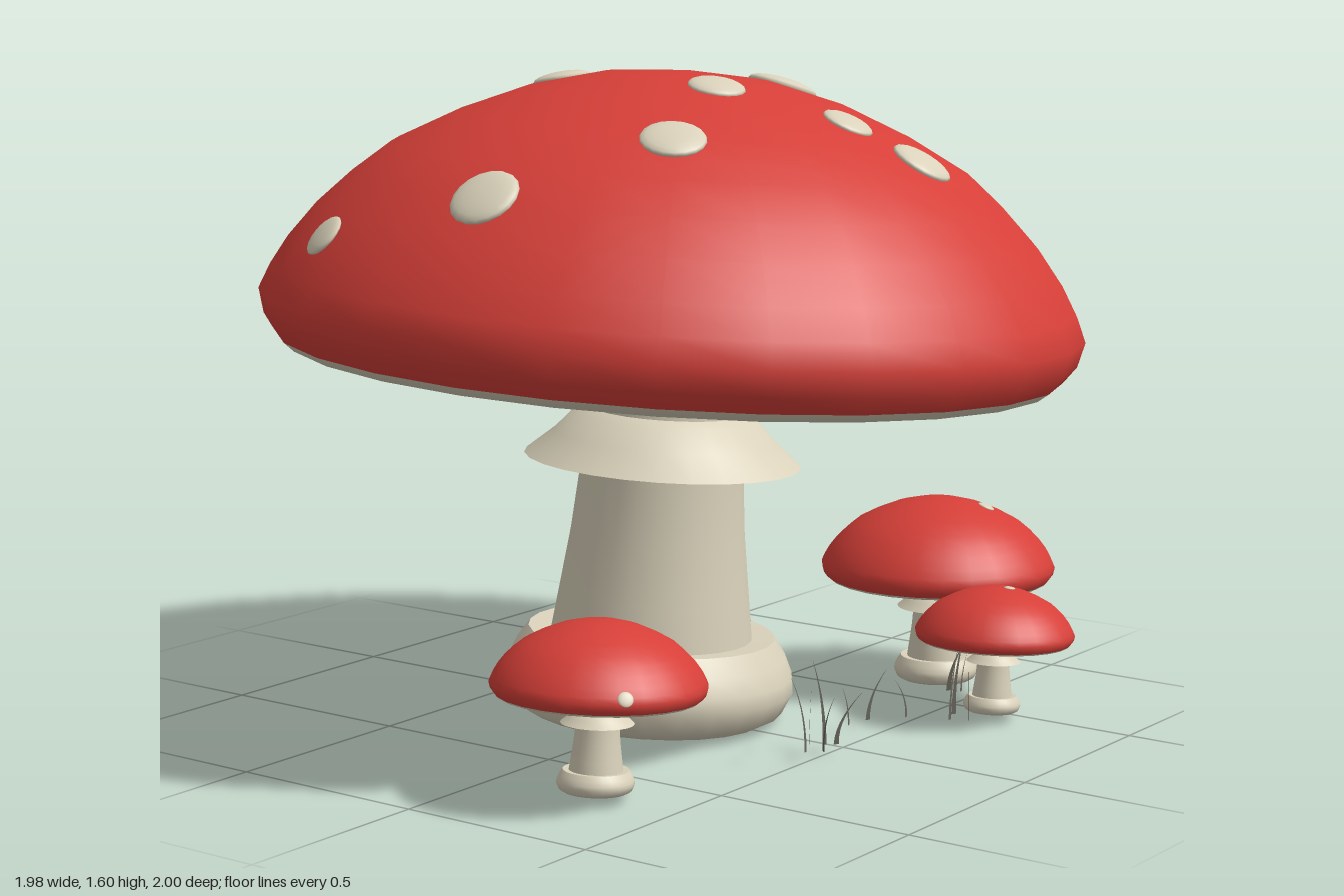
import * as THREE from 'three';
import { toCreasedNormals } from 'three/addons/utils/BufferGeometryUtils.js';

const SIDES = 26;
const mat = (name, color, side = THREE.FrontSide) => {
  const m = new THREE.MeshStandardMaterial({ color, side });
  m.name = name;
  return m;
};

// Profiles [radius, height] of a mushroom whose cap radius is 1
const CAP = [[0.955, 0.9], [0.985, 0.94], [1, 1], [0.975, 1.06], [0.935, 1.13], [0.87, 1.215], [0.79, 1.295],
  [0.7, 1.37], [0.55, 1.45], [0.38, 1.52], [0.2, 1.565], [0, 1.58]];
const UNDERSIDE = [[0, 0.9], [0.2, 0.895], [0.93, 0.88], [0.955, 0.9]];
const STEM = [[0.25, 0.19], [0.235, 0.3], [0.215, 0.45], [0.2, 0.62], [0.19, 0.91]];
const RING = [[0.19, 0.63], [0.34, 0.63], [0.27, 0.69], [0.225, 0.74], [0.185, 0.76]];
const FOOT = [[0, 0], [0.3, 0], [0.335, 0.02], [0.36, 0.075], [0.355, 0.11], [0.335, 0.155], [0.305, 0.2], [0.24, 0.195]];

const lathe = (profile) => toCreasedNormals(
  new THREE.LatheGeometry(profile.map(([r, y]) => new THREE.Vector2(r, y)), SIDES), 0.7);

// Height of the cap's upper surface at radius r
function capHeight(r) {
  for (let i = CAP.length - 1; i > 2; i--) {
    const [r0, y0] = CAP[i], [r1, y1] = CAP[i - 1];
    if (r <= r1) return y0 + (y1 - y0) * (r - r0) / (r1 - r0);
  }
  return 1;
}

export function createModel() {
  const red = mat('cap red', 0xd63f38);
  const cream = mat('cream', 0xd9d1ba);
  const grassColor = mat('grass grey', 0x66645a, THREE.DoubleSide);

  const geo = {
    cap: lathe(CAP), underside: lathe(UNDERSIDE), stem: lathe(STEM), ring: lathe(RING), foot: lathe(FOOT),
  };
  const spotGeo = new THREE.SphereGeometry(1, 18, 10);

  // Thin gill blade, tapering to its outer end
  const gillGeo = new THREE.BoxGeometry(0.56, 0.03, 0.012);
  const gp = gillGeo.attributes.position;
  for (let i = 0; i < gp.count; i++) {
    if (gp.getX(i) > 0) {
      gp.setZ(i, gp.getZ(i) * 0.2);
      gp.setY(i, 0.012);
    }
  }
  gillGeo.computeVertexNormals();

  const root = new THREE.Group();
  root.name = 'mushroomCluster';
  const add = (parent, name, geometry, material) => {
    const m = new THREE.Mesh(geometry, material);
    m.name = name;
    parent.add(m);
    return m;
  };

  // spots: [x, z, radius] in model units, seen from above
  function mushroom(name, pos, scale, tiltX, tiltZ, spots) {
    const g = new THREE.Group();
    g.name = name;
    g.position.set(...pos);
    g.rotation.set(tiltX, 0, tiltZ);
    g.scale.setScalar(scale);
    g.updateMatrixWorld(true);
    root.add(g);
    add(g, 'cap', geo.cap, red);
    for (const part of ['underside', 'stem', 'ring', 'foot']) add(g, part, geo[part], cream);

    for (let i = 0; i < 44; i++) {
      const pivot = new THREE.Group();
      pivot.rotation.y = i / 44 * Math.PI * 2;
      g.add(pivot);
      add(pivot, 'gill', gillGeo, cream).position.set(0.49, 0.885, 0);
    }

    for (const [x, z, r] of spots) {
      // settle the spot on the tilted cap
      const p = new THREE.Vector3();
      let y = pos[1] + 1.3 * scale, rad = 0;
      for (let k = 0; k < 6; k++) {
        g.worldToLocal(p.set(x, y, z));
        rad = Math.min(Math.hypot(p.x, p.z), 0.98);
        p.y = capHeight(rad);
        y = g.localToWorld(p.clone()).y;
      }
      const a = Math.atan2(p.z, p.x);
      p.set(Math.cos(a) * rad, capHeight(rad), Math.sin(a) * rad);
      const slope = (capHeight(Math.max(rad - 0.03, 0)) - capHeight(Math.min(rad + 0.03, 1))) / 0.06;
      const normal = new THREE.Vector3(Math.cos(a) * slope, 1, Math.sin(a) * slope).normalize();
      const s = add(g, 'spot', spotGeo, cream);
      s.position.copy(p);
      s.quaternion.setFromUnitVectors(new THREE.Vector3(0, 1, 0), normal);
      s.scale.set(r / scale, 0.25 * r / scale, r / scale);
    }
  }

  mushroom('largeMushroom', [-0.05, 0.02, -0.05], 1, 0.045, -0.047, [
    [0.01, -0.64, 0.055], [-0.8, -0.41, 0.055], [-0.07, -0.29, 0.072], [-0.77, 0.045, 0.083],
    [-0.44, 0.32, 0.077], [-0.12, 0.21, 0.069], [0.26, 0.135, 0.087], [0.05, 0.465, 0.063],
    [0.12, 0.625, 0.076], [0.7, 0.085, 0.062], [0.69, -0.345, 0.107], [0.64, -0.62, 0.083],
  ]);
  mushroom('rightMushroom', [0.637, 0.022, 0.365], 0.298, 0, -0.01,
    [[0.7, 0.47, 0.022], [0.81, 0.43, 0.018], [0.74, 0.15, 0.022]]);
  mushroom('frontMushroom', [0.437, 0.022, 0.65], 0.197, 0, -0.05,
    [[0.465, 0.68, 0.014], [0.6, 0.57, 0.016], [0.618, 0.57, 0.016]]);
  mushroom('leftMushroom', [-0.695, 0.022, 0.29], 0.248, 0, -0.06,
    [[-0.83, 0.48, 0.018], [-0.48, 0.37, 0.018], [-0.5, 0.18, 0.018]]);

  // Curved, tapering grass blades: [x, z, height, bend, turn]
  const blades = [
    [-0.16, 0.5, 0.2, -0.09, 0.2], [-0.13, 0.53, 0.15, -0.08, 0.9], [-0.08, 0.5, 0.21, -0.04, -0.2],
    [-0.1, 0.47, 0.13, 0.05, 0.5], [-0.06, 0.52, 0.12, 0.07, -0.5],
    [0.1, 0.45, 0.11, -0.06, 0.3], [0.17, 0.46, 0.12, 0.06, -0.3],
    [0.25, 0.52, 0.11, -0.08, 0.2], [0.29, 0.62, 0.19, 0.05, 0.1], [0.31, 0.66, 0.16, 0.05, 0.6],
    [0.34, 0.6, 0.2, 0.03, -0.4], [0.54, 0.5, 0.1, 0.05, 0.2], [0.53, 0.47, 0.12, 0.04, -0.7],
    [0.36, 0.03, 0.17, 0.08, 1.5],
  ];
  for (const [x, z, h, bend, turn] of blades) {
    const geometry = new THREE.PlaneGeometry(0.014, 1, 1, 7);
    const p = geometry.attributes.position;
    for (let i = 0; i < p.count; i++) {
      const t = p.getY(i) + 0.5;
      p.setXYZ(i, p.getX(i) * (1 - 0.95 * t) + bend * t * t, h * t, 0);
    }
    geometry.computeVertexNormals();
    const blade = add(root, 'grassBlade', geometry, grassColor);
    blade.position.set(x, 0.025, z);
    blade.rotation.y = turn;
  }
  return root;
}
